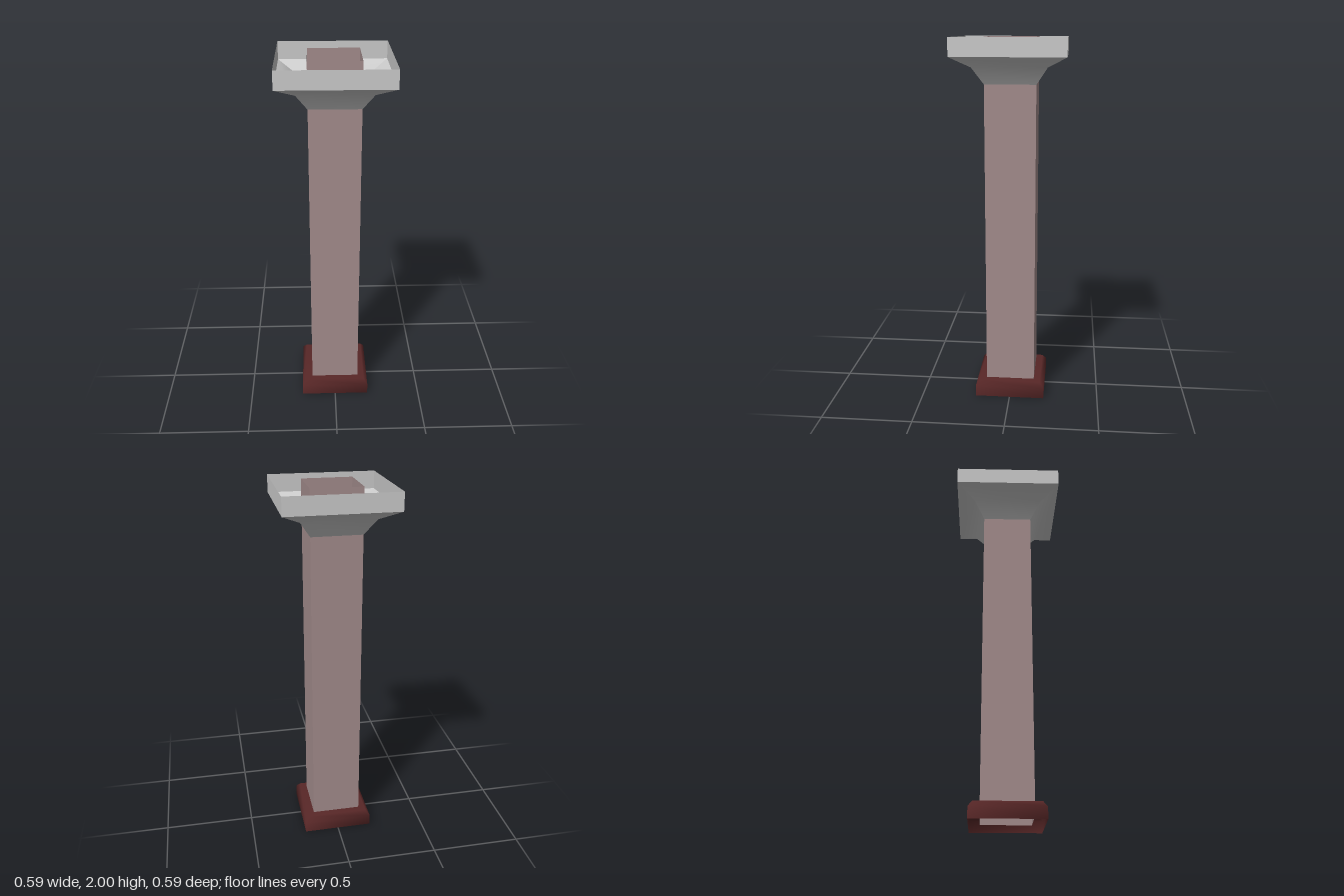
import * as THREE from 'three';
import { toCreasedNormals } from 'three/addons/utils/BufferGeometryUtils.js';

const flat = (name, color) => {
  const m = new THREE.MeshStandardMaterial({ color, side: THREE.DoubleSide });
  m.name = name;
  return m;
};

// Square open shell from a profile of [half width, height], bottom to top
function squareShell(profile) {
  const points = profile.map(([half, y]) => new THREE.Vector2(half * Math.SQRT2, y));
  return new THREE.LatheGeometry(points, 4, Math.PI / 4);
}

export function createModel() {
  const group = new THREE.Group();
  group.name = 'column';

  const stone = flat('pale grey stone', 0xcccccc);
  const shaftStone = flat('dusty rose stone', 0xa48d8d);
  const darkStone = flat('dark red stone', 0x582727);

  const add = (name, geometry, material) => {
    const mesh = new THREE.Mesh(geometry, material);
    mesh.name = name;
    group.add(mesh);
  };

  // Bevelled plinth, closed on top and hollow below, softly shaded
  add('base', squareShell([[0.194, 0], [0.194, 0.06], [0.172, 0.09], [0, 0.09]]), darkStone);

  // Hollow square shaft, open at both ends
  add('shaft', toCreasedNormals(squareShell([[0.136, 0.03], [0.136, 2]]), 0.57), shaftStone);

  // Flared capital with an upright rim; its neck runs a little inside the shaft
  const flare = [[0.115, 1.73], [0.135, 1.76], [0.194, 1.85], [0.294, 1.905], [0.294, 2]];
  add('capital', toCreasedNormals(squareShell(flare), 0.57), stone);

  return group;
}
